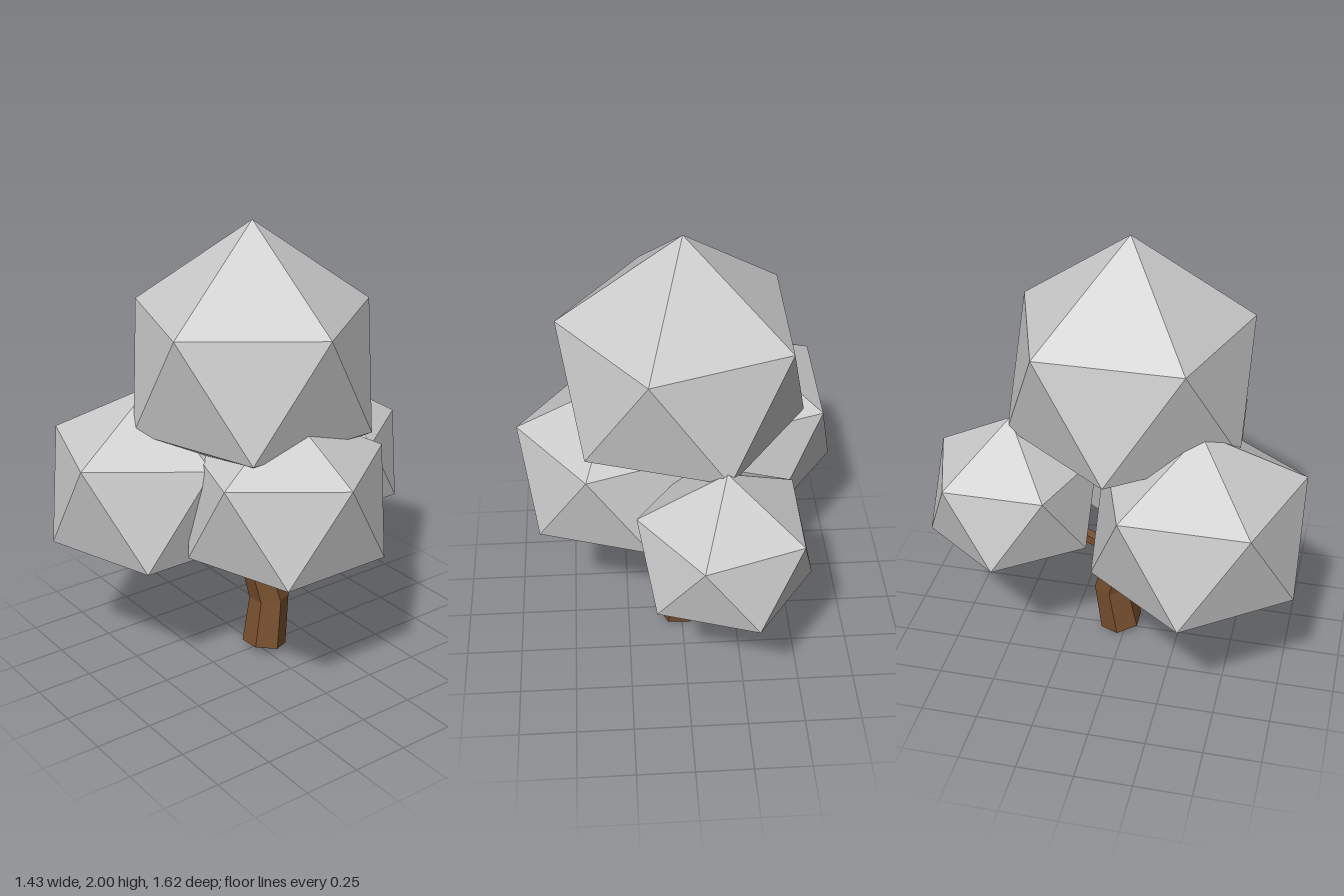
import * as THREE from 'three';

const leafMaterial = new THREE.MeshStandardMaterial({ color: 0xcccccc, flatShading: true });
const barkMaterial = new THREE.MeshStandardMaterial({ color: 0x78502f, flatShading: true });

function makeMesh(name, points, index, material) {
  const indexed = new THREE.BufferGeometry().setFromPoints(points);
  indexed.setIndex(index);
  const geometry = indexed.toNonIndexed();
  geometry.computeVertexNormals();
  const mesh = new THREE.Mesh(geometry, material);
  mesh.name = name;
  return mesh;
}

// Twenty-sided leaf clump: a tip, two staggered rings of five, and a base point.
// ys lists the heights of tip, upper ring, lower ring and base point.
function leafClump(name, x, z, radius, ys) {
  const points = [new THREE.Vector3(x, ys[0], z), new THREE.Vector3(x, ys[3], z)];
  for (let ring = 0; ring < 2; ring++) {
    for (let i = 0; i < 5; i++) {
      const a = ((i + ring / 2) / 5) * Math.PI * 2;
      points.push(new THREE.Vector3(x + radius * Math.cos(a), ys[1 + ring], z + radius * Math.sin(a)));
    }
  }
  const index = [];
  for (let i = 0; i < 5; i++) {
    const u = 2 + i, uNext = 2 + ((i + 1) % 5), l = u + 5, lNext = uNext + 5;
    index.push(0, uNext, u, u, uNext, l, uNext, lNext, l, 1, l, lNext);
  }
  return makeMesh(name, points, index, leafMaterial);
}

// Faceted limb through sections of { c: centre, r: radius, n: section normal }.
function limb(name, sections, sides) {
  const points = [], index = [];
  const up = new THREE.Vector3(0, 1, 0);
  for (const { c, r, n } of sections) {
    const turn = new THREE.Quaternion().setFromUnitVectors(up, new THREE.Vector3(...n).normalize());
    for (let i = 0; i < sides; i++) {
      const a = (i / sides) * Math.PI * 2;
      points.push(new THREE.Vector3(r * Math.cos(a), 0, r * Math.sin(a))
        .applyQuaternion(turn).add(new THREE.Vector3(...c)));
    }
  }
  const last = (sections.length - 1) * sides;
  for (let i = 0; i < sides; i++) {
    const j = (i + 1) % sides;
    for (let s = 0; s < last; s += sides) {
      index.push(s + i, s + sides + i, s + j, s + j, s + sides + i, s + sides + j);
    }
    // End caps
    if (i > 0 && j > 0) index.push(0, i, j, last, last + j, last + i);
  }
  return makeMesh(name, points, index, barkMaterial);
}

export function createModel() {
  const tree = new THREE.Group();
  tree.name = 'tree';

  // Foliage
  tree.add(
    leafClump('crownFoliage', -0.01, 0.02, 0.525, [2.0, 1.62, 1.13, 0.86]),
    leafClump('frontFoliage', -0.27, 0.37, 0.455, [1.28, 1.04, 0.61, 0.39]),
    leafClump('leftFoliage', 0.28, 0.06, 0.43, [1.28, 1.06, 0.66, 0.43]),
    leafClump('backFoliage', -0.16, -0.47, 0.37, [1.18, 0.96, 0.63, 0.44]),
  );

  // Bent trunk with a slightly tilted foot
  tree.add(limb('trunk', [
    { c: [0.015, 0.02, -0.025], r: 0.1, n: [-0.06, 1, -0.2] },
    { c: [0.005, 0.245, -0.06], r: 0.09, n: [-0.1, 1, 0] },
    { c: [-0.05, 0.56, 0.01], r: 0.07, n: [-0.15, 1, 0.2] },
  ], 6));

  // Branches reaching into the clumps
  const branches = [
    ['backBranch', [-0.03, 0.45, -0.02], [-0.06, 0.62, -0.34]],
    ['leftBranch', [-0.02, 0.44, -0.01], [0.13, 0.57, -0.01]],
  ];
  for (const [name, from, to] of branches) {
    const n = to.map((v, i) => v - from[i]);
    tree.add(limb(name, [{ c: from, r: 0.035, n }, { c: to, r: 0.025, n }], 5));
  }
  return tree;
}
